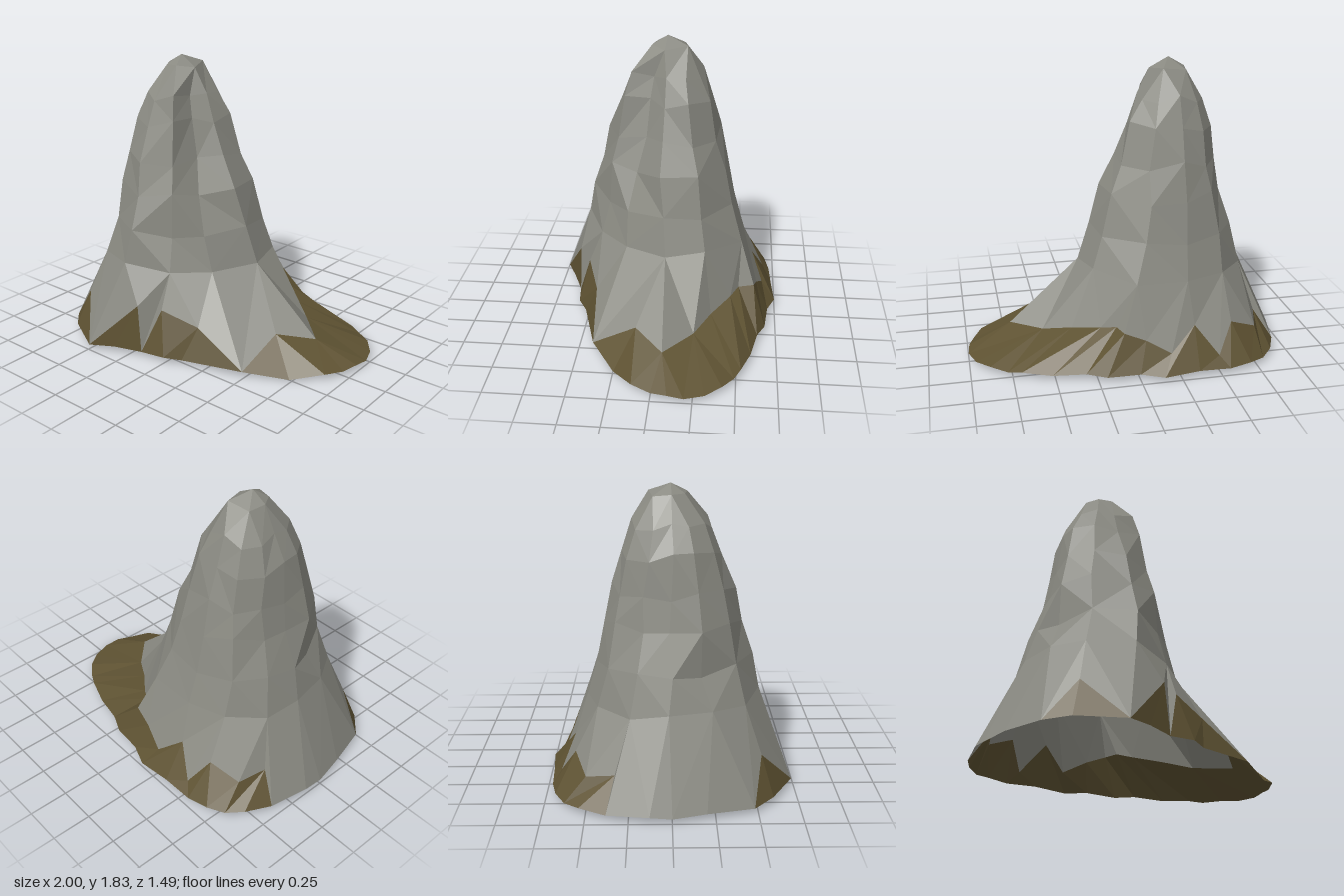
import * as THREE from 'three';

// Foot of the hill: [rim x, rim z] or [rim x, rim z, x, y, z of the soil's upper edge above it]
const FOOT = [
  [1.0, -0.2, 0.72, 0.15, -0.05], [0.99, -0.1, 0.72, 0.15, -0.05],
  [0.96, 0, 0.72, 0.15, -0.05], [0.9, 0.12, 0.54, 0.2, 0.13],
  [0.73, 0.25, 0.54, 0.2, 0.13], [0.49, 0.41],
  [0.1, 0.52, 0.16, 0.24, 0.43], [0, 0.58, -0.07, 0.32, 0.51],
  [-0.17, 0.6], [-0.34, 0.67, -0.2, 0.34, 0.59], [-0.5, 0.74],
  [-0.76, 0.6, -0.69, 0.28, 0.53], [-0.88, 0.48], [-0.96, 0.2],
  [-1, 0], [-1, -0.13], [-0.95, -0.38],
  [-0.88, -0.54, -0.83, 0.22, -0.33], [-0.8, -0.63, -0.78, 0.19, -0.5],
  [-0.7, -0.69, -0.6, 0.27, -0.57], [-0.56, -0.72, -0.5, 0.1, -0.67],
  [-0.36, -0.73, -0.36, 0.28, -0.59], [-0.14, -0.75, -0.2, 0.14, -0.66],
  [0, -0.7, -0.05, 0.22, -0.62], [0.2, -0.68, 0.08, 0.27, -0.6],
  [0.32, -0.63, 0.11, 0.27, -0.5], [0.52, -0.59, 0.2, 0.25, -0.45],
  [0.7, -0.53, 0.36, 0.21, -0.33], [0.78, -0.49, 0.53, 0.17, -0.23],
  [0.88, -0.42, 0.53, 0.17, -0.23], [0.96, -0.32, 0.53, 0.17, -0.23],
];

// Rock rings: height, then radii at equal turns from +x through the front (+z)
const RINGS = [
  [0.56, 0.6, 0.5, 0.49, 0.54, 0.52, 0.47, 0.45, 0.48, 0.5, 0.51, 0.6, 0.61],
  [0.77, 0.52, 0.44, 0.43, 0.5, 0.44, 0.37, 0.39, 0.41, 0.44, 0.45, 0.5, 0.54],
  [1.02, 0.45, 0.34, 0.41, 0.43, 0.4, 0.37, 0.31, 0.33, 0.38, 0.4, 0.44, 0.47],
  [1.22, 0.35, 0.26, 0.36, 0.39, 0.35, 0.32, 0.28, 0.3, 0.34, 0.35, 0.38, 0.39],
  [1.44, 0.27, 0.2, 0.31, 0.3, 0.29, 0.27, 0.25, 0.27, 0.3, 0.29, 0.32, 0.32],
  [1.6, 0.21, 0.16, 0.26, 0.24, 0.22, 0.2, 0.17, 0.21, 0.24, 0.23, 0.25, 0.24],
  [1.77, 0.13, 0.11, 0.09, 0.09, 0.13, 0.15],
];
const PEAK = new THREE.Vector3(-0.32, 1.83, 0);
const CX = -0.33;

function seeded(seed) {
  return () => {
    seed = (seed * 16807) % 2147483647;
    return seed / 2147483647;
  };
}

// Heading of every corner round the peak axis, rising without wrap
function headings(ring) {
  let last = -1;
  const list = ring.map((p) => {
    let a = Math.atan2(p.z, p.x - CX);
    while (a < last - 0.2) a += Math.PI * 2;
    last = a;
    return a;
  });
  return [...list, list[0] + Math.PI * 2];
}

// Triangles between a lower and an upper ring, which may differ in corner count
function stitch(out, low, high, byIndex = false) {
  const a = byIndex ? [...low.keys(), low.length] : headings(low);
  const b = byIndex ? [...high.keys(), high.length] : headings(high);
  const L = (k) => low[k % low.length];
  const H = (k) => high[k % high.length];
  let i = 0, j = 0;
  while (i < low.length || j < high.length) {
    if (j >= high.length || (i < low.length && a[i + 1] <= b[j + 1])) {
      addFace(out, L(i), H(j), L(i + 1));
      i++;
    } else {
      addFace(out, L(i), H(j), H(j + 1));
      j++;
    }
  }
}

function addFace(out, p, q, r) {
  if (new THREE.Triangle(p, q, r).getArea() < 1e-6) return;
  for (const v of [p, q, r]) out.push(v.x, v.y, v.z);
}

function facetedMesh(name, positions, color) {
  const geometry = new THREE.BufferGeometry();
  geometry.setAttribute('position', new THREE.Float32BufferAttribute(positions, 3));
  geometry.computeVertexNormals();
  const mesh = new THREE.Mesh(geometry, new THREE.MeshStandardMaterial({
    color, flatShading: true, side: THREE.DoubleSide,
  }));
  mesh.name = name;
  return mesh;
}

// Ring of corners at the given radii, with slightly uneven heights and headings
function rockRing([y, ...radii], random) {
  const rise = y < 1.7 ? 0.06 : 0.02;
  return radii.map((r, k) => {
    const t = ((k + 0.2 * (random() - 0.5)) / radii.length) * Math.PI * 2;
    return new THREE.Vector3(CX + r * Math.cos(t), y + rise * (random() - 0.5), r * Math.sin(t));
  });
}

export function createModel() {
  const group = new THREE.Group();
  group.name = 'rockyHill';
  const random = seeded(421);

  // Soil skirt, dipping at the front left and vanishing where rock runs down to the rim
  const rim = FOOT.map(([x, z], i) => new THREE.Vector3(x, x === 0.73 ? 0 : 0.03 + 0.01 * (i % 2), z));
  const soilEdge = FOOT.map((f, i) => (f.length > 2 ? new THREE.Vector3(f[2], f[3], f[4]) : rim[i]));
  const soil = [];
  stitch(soil, rim, soilEdge, true);
  group.add(facetedMesh('soilSkirt', soil, 0x5e5232));

  // Rock from the soil edge up to the peak
  const rock = [];
  let below = soilEdge;
  for (const level of RINGS) {
    const ring = rockRing(level, random);
    stitch(rock, below, ring);
    below = ring;
  }
  below.forEach((p, i) => addFace(rock, p, PEAK, below[(i + 1) % below.length]));
  group.add(facetedMesh('rockPeak', rock, 0x8a8a82));

  return group;
}
